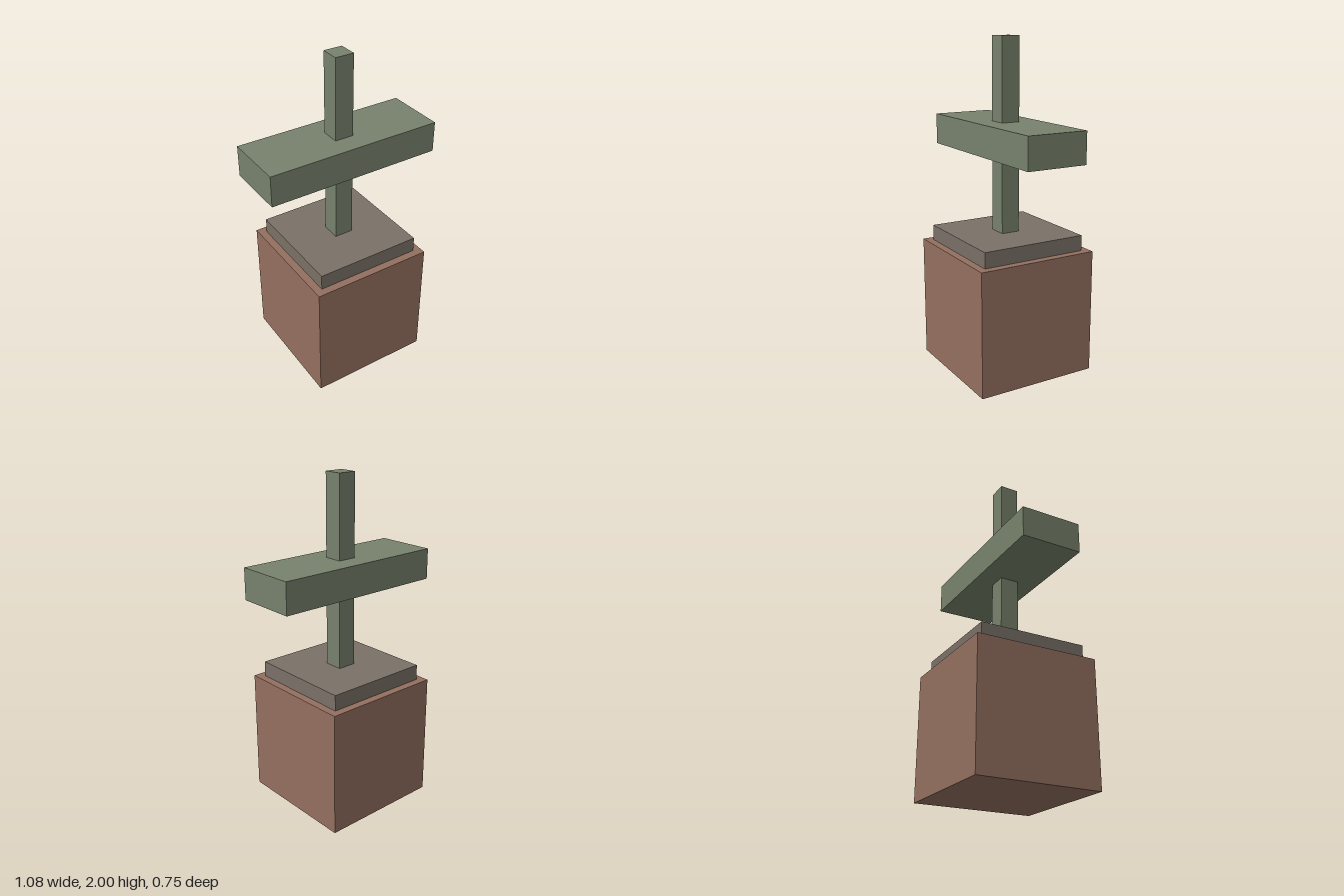
import * as THREE from 'three';

const CLAY = 0x936f5f, SOIL = 0x7a7067, GREEN = 0x77826c;

// Box standing on height y0, centred on the vertical axis
function block(name, color, width, y0, y1, depth) {
  const mesh = new THREE.Mesh(
    new THREE.BoxGeometry(width, y1 - y0, depth),
    new THREE.MeshStandardMaterial({ color })
  );
  mesh.name = name;
  mesh.position.y = (y0 + y1) / 2;
  return mesh;
}

export function createModel() {
  const model = new THREE.Group();
  model.name = 'pottedPlant';
  model.add(
    block('pot', CLAY, 0.75, 0, 0.755, 0.75),
    block('soil', SOIL, 0.655, 0.755, 0.849, 0.655),
    block('stem', GREEN, 0.115, 0.849, 2, 0.115),
    block('leaves', GREEN, 1.08, 1.321, 1.509, 0.375)
  );
  return model;
}
